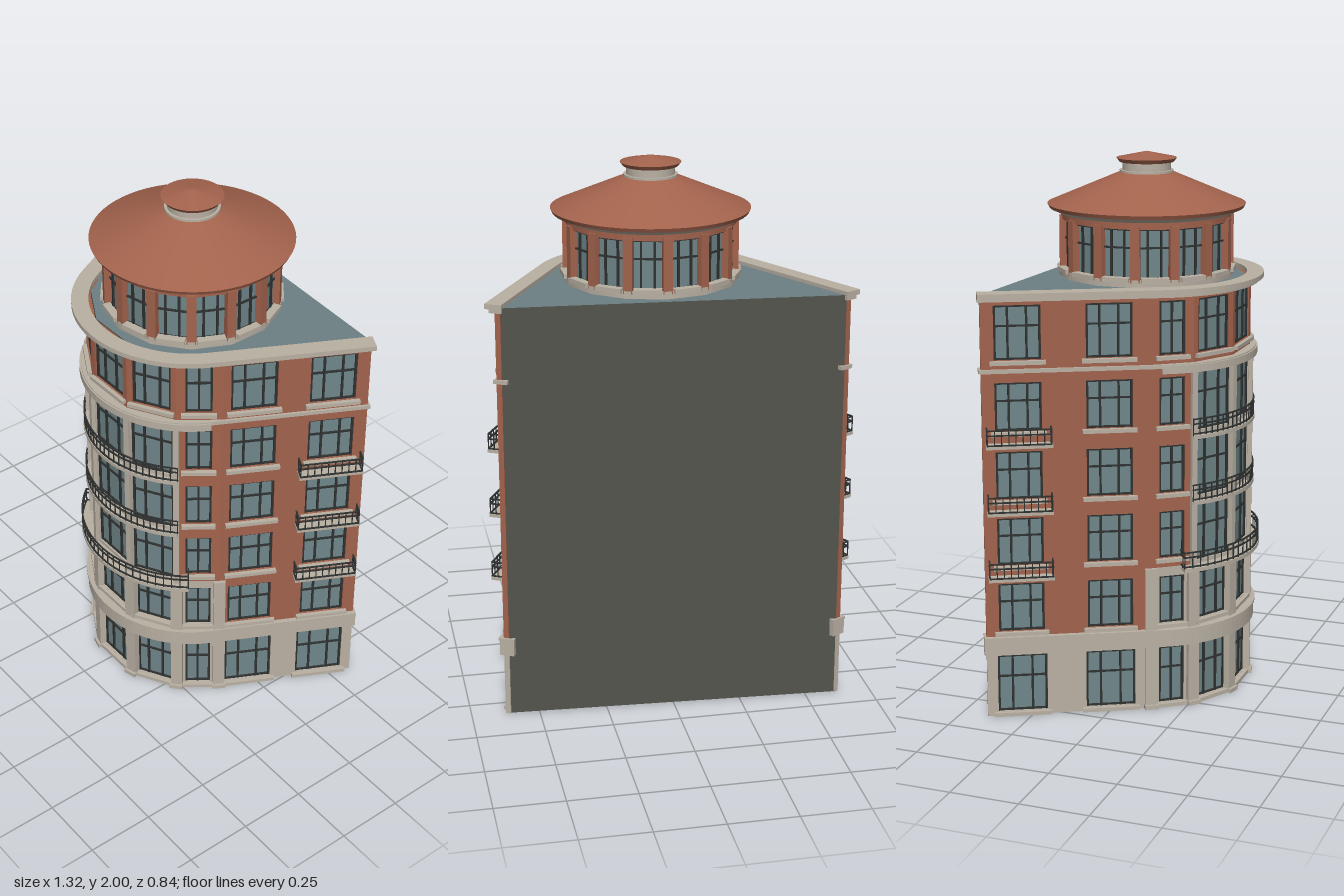
import * as THREE from 'three';

const mat = (name, color) => Object.assign(new THREE.MeshStandardMaterial({ color }), { name });
const brick = mat('brick', 0xa3634d), stone = mat('stone', 0xbab1a4), glass = mat('glass', 0x70868a);
const dark = mat('darkMetal', 0x2f3231), slate = mat('slateRoof', 0x6c8083), plain = mat('plainBackWall', 0x53544d);

const CX = 0.015, CZ = -0.01, SIDE = 1.0821, D = 0.387; // arc centre, side wall angle and distance
const LEN_L = 0.598, LEN_R = 0.524;

function add(parent, name, geo, material, x = 0, y = 0, z = 0) {
  const m = new THREE.Mesh(geo, material);
  m.name = name;
  m.position.set(x, y, z);
  parent.add(m);
  return m;
}
const box = (p, name, m, w, h, d, x, y, z) => add(p, name, new THREE.BoxGeometry(w, h, d), m, x, y, z);

function group(parent, name, x = 0, z = 0, angle = 0) {
  const g = new THREE.Group();
  g.name = name;
  g.position.set(x, 0, z);
  g.rotation.y = angle;
  parent.add(g);
  return g;
}

// Upright prism from plan points [x, z]
function prism(parent, name, pts, y0, y1, material) {
  const shape = new THREE.Shape(pts.map(([x, z]) => new THREE.Vector2(x, -z)));
  const geo = new THREE.ExtrudeGeometry(shape, { depth: y1 - y0, bevelEnabled: false }).rotateX(-Math.PI / 2);
  return add(parent, name, geo, material, 0, y0, 0);
}

// Curved plan line at distance d from the arc centre
function arc(d, a, n = 32) {
  return Array.from({ length: n + 1 }, (_, i) => {
    const t = -a + (2 * a * i) / n;
    return [d * Math.sin(t), d * Math.cos(t)];
  });
}

// Meeting point of two facet lines given as [angle, distance]
function meet([a, d], [b, e]) {
  const k = Math.sin(b - a);
  return [(e * Math.cos(a) - d * Math.cos(b)) / k, (d * Math.sin(b) - e * Math.sin(a)) / k];
}

const facets = [[-SIDE, D], [-0.925, 0.375], [-0.515, 0.365], [0, 0.36], [0.515, 0.365], [0.925, 0.375], [SIDE, D]];

// Plan corners of the wall, moved inward by inset
function corners(inset = 0) {
  const f = facets.map(([a, d]) => [a, d - inset]);
  const mid = f.slice(1).map((q, i) => meet(f[i], q));
  const s = Math.sin(SIDE), c = Math.cos(SIDE), base = meet(facets[5], facets[6]);
  const end = (len, sign) => [sign * (base[0] + len * c - inset * s), base[1] - len * s - inset * c];
  return [end(LEN_L, -1), ...mid, end(LEN_R, 1)];
}

// Full curved line of a cornice, square at both ends
function cornicePath(d) {
  const s = Math.sin(SIDE), c = Math.cos(SIDE), base = meet(facets[5], facets[6]);
  const end = (len, sign) => [sign * (base[0] + len * c + (d - D) * s), base[1] - len * s + (d - D) * c];
  return [end(LEN_L + 0.008, -1), ...arc(d, SIDE), end(LEN_R + 0.008, 1)];
}
const strip = (p, name, outer, inner, y0, y1, m) => prism(p, name, [...outer, ...inner.reverse()], y0, y1, m);

// Glass with dark frame and glazing bars
function windowUnit(p, u, y0, y1, w, z = -0.013) {
  const g = group(p, 'window', u, 0), h = y1 - y0, ym = (y0 + y1) / 2, t = 0.008;
  add(g, 'glass', new THREE.PlaneGeometry(w, h), glass, 0, ym, z);
  const xs = w < 0.12 ? [-w / 2 + t / 2, 0, w / 2 - t / 2] : [-w / 2 + t / 2, -w * 0.2, w * 0.2, w / 2 - t / 2];
  for (const x of xs) box(g, 'verticalBar', dark, t, h, 0.008, x, ym, z + 0.003);
  for (const y of [y0 + t / 2, y0 + h * 0.62, y1 - t / 2]) box(g, 'horizontalBar', dark, w, t * 0.8, 0.007, 0, y, z + 0.003);
}

// Wall panel with window openings
function wallPanel(p, len, y0, y1, openings, material) {
  const rect = (S, a, b, c, d) => {
    const r = new S();
    r.moveTo(a, b); r.lineTo(c, b); r.lineTo(c, d); r.lineTo(a, d); r.closePath();
    return r;
  };
  const s = rect(THREE.Shape, 0, y0, len, y1);
  for (const o of openings) s.holes.push(rect(THREE.Path, o.u - o.w / 2, o.y0, o.u + o.w / 2, o.y1));
  add(p, 'wallPanel', new THREE.ExtrudeGeometry(s, { depth: 0.02, bevelEnabled: false }), material, 0, 0, -0.02);
  for (const o of openings) windowUnit(p, o.u, o.y0, o.y1, o.w);
}

// Rails and bars along a plan line
function railing(p, pts, y, spacing = 0.024) {
  const h = 0.062;
  for (let i = 0; i < pts.length - 1; i++) {
    const [ax, az] = pts[i], [bx, bz] = pts[i + 1], dx = bx - ax, dz = bz - az, L = Math.hypot(dx, dz);
    const g = group(p, 'railing', ax, az, Math.atan2(-dz, dx));
    for (const yy of [y + 0.008, y + h - 0.018, y + h]) box(g, 'rail', dark, L + 0.003, 0.005, 0.005, L / 2, yy, 0);
    const n = Math.max(1, Math.round(L / spacing));
    for (let k = 0; k <= n; k++) box(g, 'bar', dark, 0.0035, h, 0.0035, (L * k) / n, y + h / 2, 0);
  }
}

const levels = [
  { y: [0, 0.27], win: [0.016, 0.232], arcMat: stone, sideMat: stone },
  { y: [0.27, 0.54], win: [0.325, 0.505], arcMat: stone, sideMat: brick },
  { y: [0.54, 0.785], win: [0.575, 0.75], arcMat: stone, sideMat: brick, bay: true },
  { y: [0.785, 1.03], win: [0.82, 0.995], arcMat: stone, sideMat: brick, bay: true },
  { y: [1.03, 1.285], win: [1.07, 1.245], arcMat: stone, sideMat: brick, bay: true },
  { y: [1.285, 1.55], win: [1.325, 1.52], arcMat: brick, sideMat: brick },
];

function buildWalls(root) {
  const c = corners();
  facets.forEach(([a], i) => {
    const [P, Q] = [c[i], c[i + 1]], len = Math.hypot(Q[0] - P[0], Q[1] - P[1]);
    const f = group(root, 'facade', P[0], P[1], a), side = i === 0 || i === 6, narrow = i === 1 || i === 5;
    const us = i === 0 ? [0.129, 0.451] : i === 6 ? [0.115, 0.396] : [len / 2];
    levels.forEach((l, k) => {
      const bay = l.bay && !side && !narrow;
      let w = side ? (k ? 0.165 : 0.18) : narrow ? 0.095 : i === 3 ? 0.165 : 0.145;
      if (bay) w = len - 0.026;
      const [y0, y1] = bay ? [l.y[0] + 0.012, l.y[1] - 0.02] : l.win;
      const m = side || (narrow && l.bay) ? l.sideMat : l.arcMat;
      wallPanel(f, len, l.y[0], l.y[1], us.map(u => ({ u, w, y0, y1 })), m);
      // Sills, and balconies on the rear side windows
      us.forEach((u, j) => {
        if (!bay) box(f, 'sill', stone, w + 0.03, 0.014, 0.026, u, y0 - 0.008, 0.003);
        if (side && l.bay && j === (i === 0 ? 0 : 1)) {
          const yb = l.y[0] - 0.008;
          box(f, 'balconySlab', stone, 0.235, 0.012, 0.045, u, yb, 0.0225);
          railing(f, [[u - 0.113, 0], [u - 0.113, 0.043], [u + 0.113, 0.043], [u + 0.113, 0]], yb);
        }
      });
    });
  });
  // Stone piers where the front facets meet
  for (let i = 1; i <= 6; i++) {
    const [x, z] = c[i], outer = i === 1 || i === 6;
    const g = group(root, 'cornerPier', x, z, (facets[i - 1][0] + facets[i][0]) / 2);
    box(g, 'lowerPier', stone, 0.044, 0.54, 0.026, 0, 0.27, 0);
    box(g, 'pierFoot', stone, 0.05, 0.016, 0.046, 0, 0.008, 0);
    if (!outer) box(g, 'upperColumn', stone, 0.022, 0.745, 0.024, 0, 0.9125, 0);
  }
}

function buildTower(root) {
  const N = 14, R = 0.31, t = group(root, 'tower', 0.002, -0.01);
  const drum = (name, m, r0, r1, y0, y1, n = 64) =>
    add(t, name, new THREE.CylinderGeometry(r1, r0, y1 - y0, n), m, 0, (y0 + y1) / 2, 0);
  drum('towerBase', stone, 0.322, 0.322, 1.55, 1.58, N);
  drum('towerCore', plain, 0.28, 0.28, 1.58, 1.76, N);
  drum('towerHead', brick, 0.313, 0.313, 1.758, 1.79, N);
  drum('eaveMoulding', stone, 0.325, 0.345, 1.785, 1.802);
  for (let i = 0; i < N; i++) {
    const a = (i * 2 * Math.PI) / N, b = a + Math.PI / N, ap = R * Math.cos(Math.PI / N);
    const pier = group(t, 'towerPier', R * Math.sin(a), R * Math.cos(a), a);
    box(pier, 'pier', brick, 0.034, 0.2, 0.034, 0, 1.67, -0.008);
    const f = group(t, 'towerFacet', ap * Math.sin(b), ap * Math.cos(b), b);
    windowUnit(f, 0, 1.58, 1.76, 0.121, -0.012);
    box(f, 'towerSill', stone, 0.1, 0.016, 0.03, 0, 1.58, 0.008);
  }
  // Conical roof with a small lantern
  drum('roofEdge', brick, 0.355, 0.362, 1.8, 1.814);
  drum('coneRoof', brick, 0.362, 0.095, 1.814, 1.927);
  drum('lantern', stone, 0.088, 0.088, 1.92, 1.965);
  drum('lanternFoot', stone, 0.098, 0.098, 1.922, 1.934);
  drum('lanternEdge', brick, 0.1, 0.11, 1.963, 1.977);
  drum('lanternRoof', brick, 0.11, 0.002, 1.977, 2.0);
}

export function createModel() {
  const root = new THREE.Group();
  root.name = 'cornerBuilding';
  const b = group(root, 'building', CX, CZ);
  buildWalls(b);
  // Solid core: flat roof, blank back wall and underside
  prism(b, 'core', corners(0.022), 0.004, 1.553, [slate, plain]);
  prism(b, 'floorPlate', corners(0.003), 0, 0.004, stone);
  // Bands and cornices
  strip(b, 'groundBand', cornicePath(0.4), cornicePath(0.345), 0.24, 0.3, stone);
  strip(b, 'bandCap', cornicePath(0.405), cornicePath(0.345), 0.296, 0.306, stone);
  strip(b, 'upperBand', cornicePath(0.396), cornicePath(0.345), 1.28, 1.294, stone);
  strip(b, 'bayCornice', arc(0.402, 1.1), arc(0.345, 1.1), 1.262, 1.29, stone);
  strip(b, 'topMoulding', cornicePath(0.405), cornicePath(0.36), 1.535, 1.55, stone);
  strip(b, 'topCornice', cornicePath(0.422), cornicePath(0.36), 1.548, 1.566, stone);
  // Curved front balconies
  for (const [y, r, a] of [[0.532, 0.418, 0.9], [0.777, 0.395, 0.8], [1.022, 0.395, 0.8]]) {
    strip(b, 'frontBalconySlab', arc(r, a), arc(0.345, a), y - 0.008, y + 0.006, stone);
    railing(b, [arc(0.37, a)[0], ...arc(r - 0.004, a, 24), arc(0.37, a)[32]], y + 0.004);
  }
  buildTower(b);
  return root;
}
